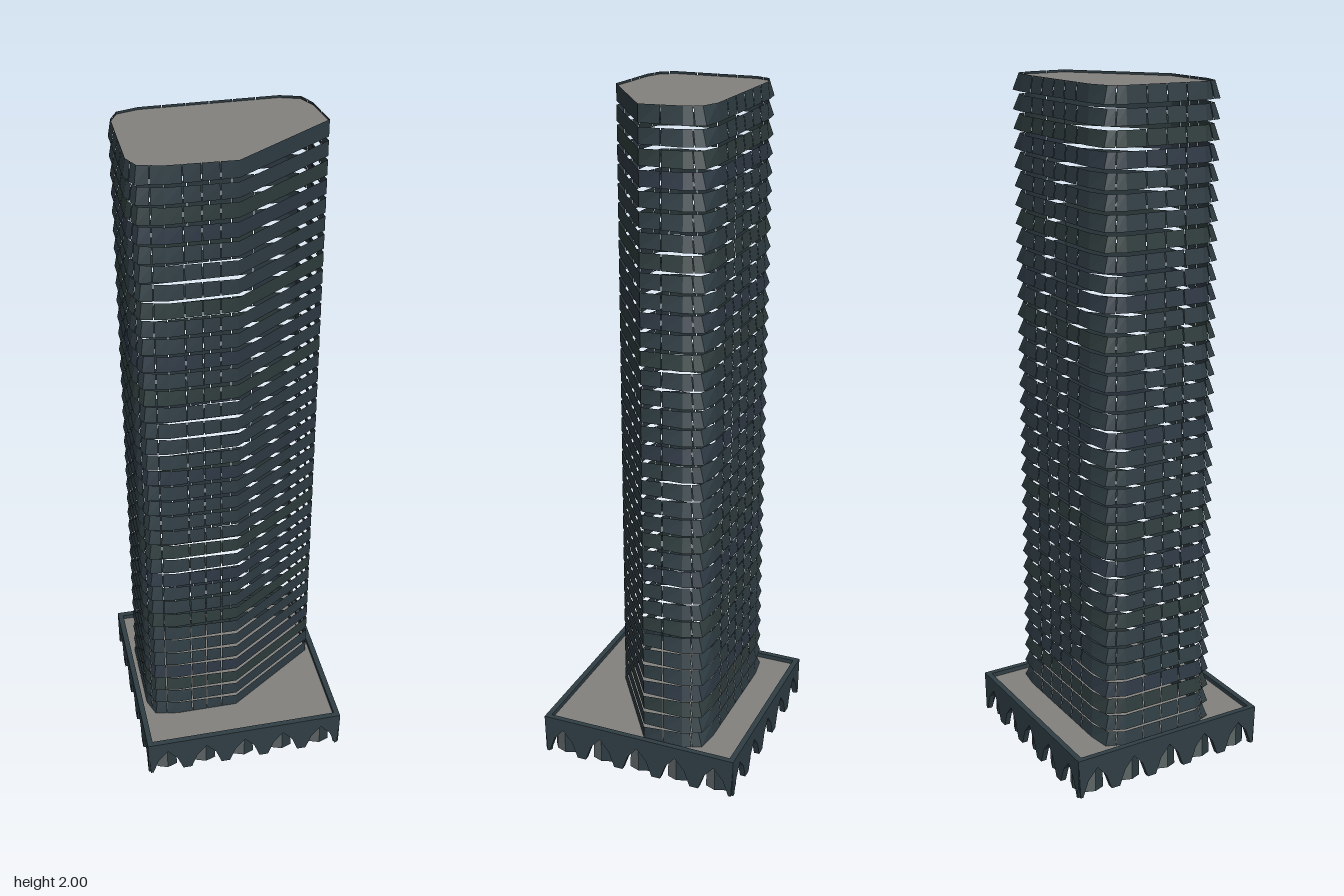
import * as THREE from 'three';

const mat = (name, color, side = THREE.FrontSide) => {
  const m = new THREE.MeshStandardMaterial({ color, side });
  m.name = name;
  return m;
};

export function createModel() {
  const tower = new THREE.Group();
  tower.name = 'officeTower';
  const glass = [
    mat('slateGlass', 0x2e3c42, THREE.DoubleSide),
    mat('blueGlass', 0x2d3843, THREE.DoubleSide),
    mat('greenGlass', 0x2e3b3b, THREE.DoubleSide),
  ];
  const frame = mat('darkFrame', 0x2f3e45);
  const roofGrey = mat('roofGrey', 0x83817e, THREE.DoubleSide);
  const infill = mat('greyInfill', 0x5c6465, THREE.DoubleSide);

  const add = (name, geometry, material, parent = tower) => {
    const m = new THREE.Mesh(geometry, material);
    m.name = name;
    parent.add(m);
    return m;
  };

  // Floor outline, going round from the left end of the front:
  // x, z at the foot of a band, x, z at its head, panels along the edge
  const outline = [
    [-0.28, 0.11, -0.272, 0.11, 2],
    [-0.26, 0.165, -0.252, 0.152, 2],
    [-0.19, 0.178, -0.19, 0.17, 4],
    [0, 0.178, 0, 0.178, 1],
    [0.28, -0.012, 0.28, -0.012, 2],
    [0.28, -0.135, 0.266, -0.13, 2],
    [0.257, -0.19, 0.246, -0.175, 1],
    [0.19, -0.2, 0.19, -0.194, 6],
    [-0.19, -0.2, -0.19, -0.194, 1],
    [-0.257, -0.19, -0.25, -0.176, 2],
    [-0.28, -0.135, -0.272, -0.133, 4],
  ];

  // One floor: separate panels with hairline joints
  const bandGeometry = (y0, y1) => {
    const pos = [];
    outline.forEach((a, i) => {
      const b = outline[(i + 1) % outline.length];
      const length = Math.hypot(b[0] - a[0], b[1] - a[1]);
      const n = a[4];
      const joint = n > 1 ? 0.0012 / length : 0;
      const at = (t, top) => {
        const k = top ? 2 : 0;
        return [a[k] + (b[k] - a[k]) * t, top ? y1 : y0, a[k + 1] + (b[k + 1] - a[k + 1]) * t];
      };
      for (let j = 0; j < n; j++) {
        const s = j / n + (j > 0 ? joint : 0);
        const e = (j + 1) / n - (j < n - 1 ? joint : 0);
        const [p, q, r, u] = [at(s, false), at(e, false), at(e, true), at(s, true)];
        pos.push(...p, ...q, ...r, ...p, ...r, ...u);
      }
    });
    const g = new THREE.BufferGeometry();
    g.setAttribute('position', new THREE.Float32BufferAttribute(pos, 3));
    g.computeVertexNormals();
    return g;
  };

  // Stacked glass bands with open gaps
  const pitch = 0.0543;
  const floors = new THREE.Group();
  floors.name = 'floorBands';
  tower.add(floors);
  for (let i = 0; i < 35; i++) {
    const top = 2 - i * pitch - (i ? 0.004 : 0);
    const bottom = Math.max(0.11, 2 - (i + 1) * pitch + 0.007);
    const tint = i % 7 === 3 ? 1 : i % 5 === 2 ? 2 : 0;
    add('floorBand' + (i + 1), bandGeometry(bottom, top), glass[tint], floors);
  }

  // Tower roof
  const roofShape = new THREE.Shape(outline.map(p => new THREE.Vector2(p[2], -p[3])));
  const roof = add('towerRoof', new THREE.ShapeGeometry(roofShape), roofGrey);
  roof.rotation.x = -Math.PI / 2;
  roof.position.y = 1.993;

  // Podium deck, open underneath
  const deck = add('podiumDeck', new THREE.PlaneGeometry(0.6, 0.6), roofGrey);
  deck.rotation.x = -Math.PI / 2;
  deck.position.y = 0.108;

  // Podium wall: five pointed bays between piers that taper to the ground
  const half = 0.31, bays = 5, bay = (half * 2) / bays, thick = 0.017;
  const wall = new THREE.Shape();
  wall.moveTo(-half, 0.122);
  wall.lineTo(-half + 0.006, 0);
  for (let i = 0; i < bays; i++) {
    const x0 = -half + i * bay, c = x0 + bay / 2;
    wall.lineTo(x0 + 0.014, 0);
    wall.lineTo(x0 + 0.032, 0.05);
    wall.lineTo(c, 0.085);
    wall.lineTo(x0 + bay - 0.032, 0.05);
    wall.lineTo(x0 + bay - 0.014, 0);
  }
  wall.lineTo(half - 0.006, 0);
  wall.lineTo(half, 0.122);
  const wallGeometry = new THREE.ExtrudeGeometry(wall, { depth: thick, bevelEnabled: false });

  // Folded infill in each bay: a shallow ridge of two leaves
  const leaf = (side) => {
    const s = new THREE.Shape();
    s.moveTo(0, 0);
    s.lineTo(side * 0.034, 0);
    s.lineTo(side * 0.031, 0.055);
    s.lineTo(0, 0.09);
    return new THREE.ShapeGeometry(s);
  };
  for (let k = 0; k < 4; k++) {
    const sideGroup = new THREE.Group();
    sideGroup.name = 'podiumSide' + (k + 1);
    sideGroup.rotation.y = (k * Math.PI) / 2;
    tower.add(sideGroup);
    add('podiumWall', wallGeometry, frame, sideGroup).position.z = half - thick;
    for (let i = 0; i < bays; i++) {
      for (const side of [-1, 1]) {
        const m = add('bayInfill', leaf(side), side < 0 ? infill : glass[0], sideGroup);
        m.position.set(-half + (i + 0.5) * bay, 0, half - 0.012);
        m.rotation.y = side * 0.35;
      }
    }
  }
  return tower;
}
